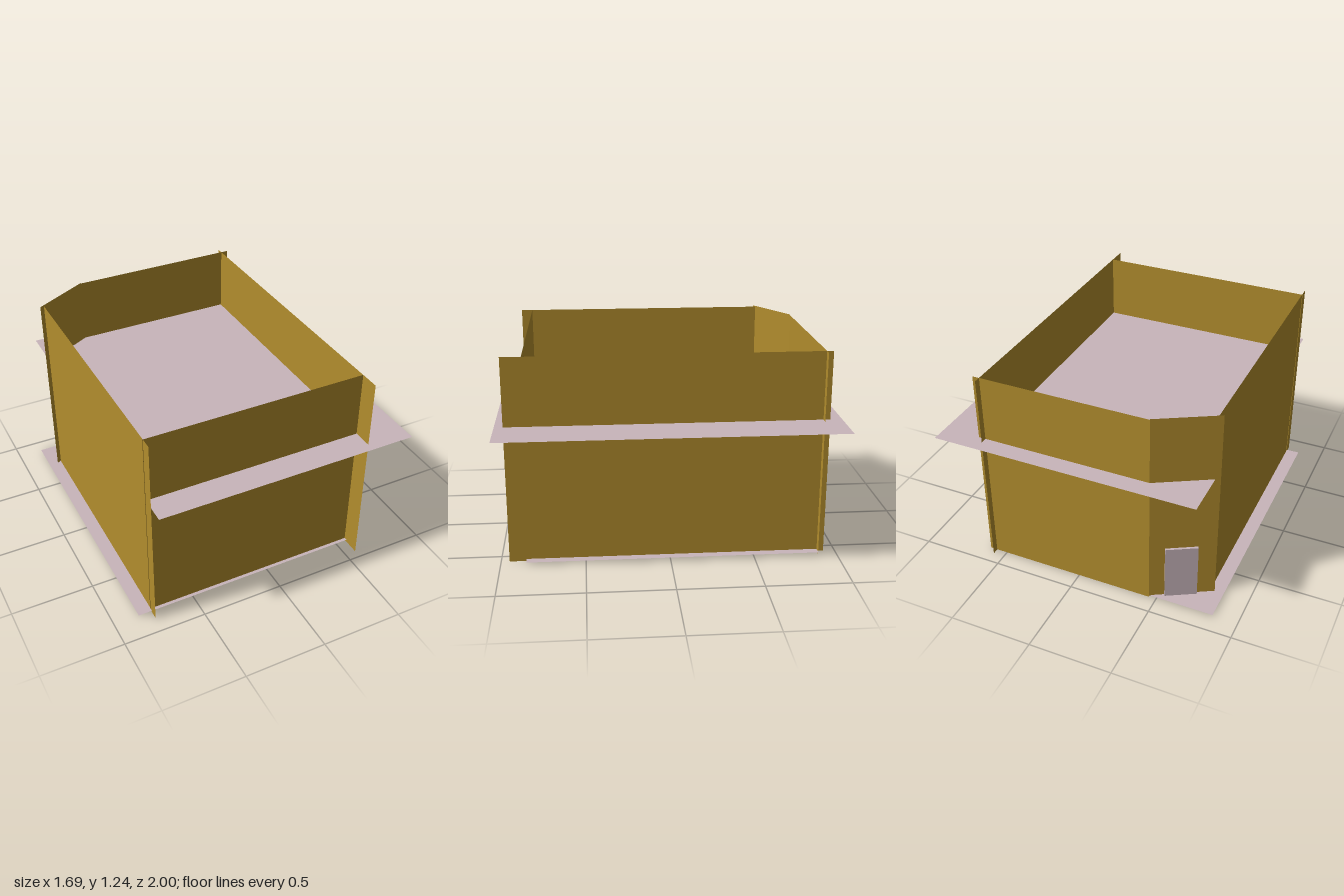
import * as THREE from 'three';

const ochre = new THREE.MeshStandardMaterial({ color: 0xb28d2d, side: THREE.DoubleSide });
ochre.name = 'ochreWall';
const mauve = new THREE.MeshStandardMaterial({ color: 0xc9b5bb, side: THREE.DoubleSide });
mauve.name = 'mauveSlab';

const HEIGHT = 1.24;

export function createModel() {
  const group = new THREE.Group();
  group.name = 'building';

  // Upright sheet between two points on the ground plan
  function wall(name, [x1, z1], [x2, z2], y0 = 0) {
    const mesh = new THREE.Mesh(
      new THREE.PlaneGeometry(Math.hypot(x2 - x1, z2 - z1), HEIGHT), ochre);
    mesh.position.set((x1 + x2) / 2, y0 + HEIGHT / 2, (z1 + z2) / 2);
    mesh.rotation.y = Math.atan2(z1 - z2, x2 - x1);
    mesh.name = name;
    group.add(mesh);
    return mesh;
  }

  // Flat horizontal sheet
  function slab(name, x1, x2, z1, z2, y) {
    const mesh = new THREE.Mesh(new THREE.PlaneGeometry(x2 - x1, z2 - z1), mauve);
    mesh.rotation.x = -Math.PI / 2;
    mesh.position.set((x1 + x2) / 2, y, (z1 + z2) / 2);
    mesh.name = name;
    group.add(mesh);
  }

  // Floors
  slab('groundFloor', -0.85, 0.62, -0.89, 0.85, 0.013);
  slab('upperFloor', -0.766, 0.84, -1, 1, 0.833);

  // Walls, overlapping a little past the corners
  wall('frontWall', [-0.77, 0.83], [0.57, 0.83]);
  wall('backWall', [0.613, -0.89], [-0.455, -0.89]);
  wall('leftWall', [0.57, 0.95], [0.57, -0.93]);
  wall('rightWall', [-0.767, -0.71], [-0.767, 0.9]);
  const angled = wall('angledWall', [-0.455, -0.89], [-0.793, -0.7], 0.004);

  // Door in the angled wall
  const door = new THREE.Mesh(new THREE.BoxGeometry(0.19, 0.35, 0.03), mauve);
  door.name = 'door';
  door.position.set(-0.616, 0.188, -0.799);
  door.rotation.y = angled.rotation.y;
  group.add(door);

  return group;
}
